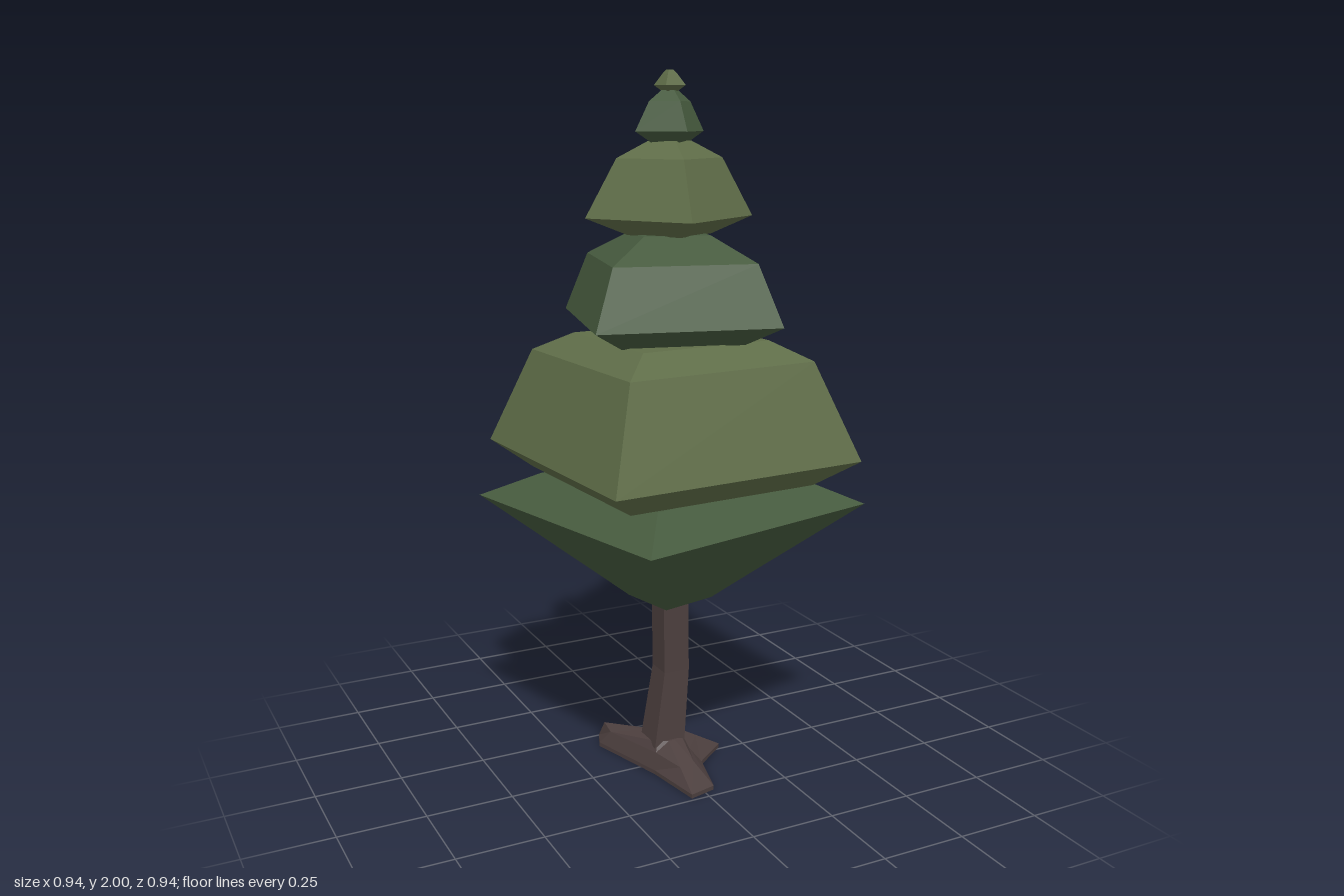
import * as THREE from 'three';

const V = (x, y, z) => new THREE.Vector3(x, y, z);
const mat = (color) => new THREE.MeshStandardMaterial({ color, flatShading: true });

// Closed faceted solid through a stack of rings, listed from bottom to top
function loft(rings) {
  const pos = [];
  const tri = (...pts) => pts.forEach((p) => pos.push(p.x, p.y, p.z));
  const n = rings[0].length;
  const centre = (ring) => ring.reduce((s, p) => s.add(p), V(0, 0, 0)).divideScalar(n);
  const bottom = centre(rings[0]);
  const topRing = rings[rings.length - 1];
  const top = centre(topRing);
  for (let j = 0; j < n; j++) {
    const k = (j + 1) % n;
    for (let i = 0; i < rings.length - 1; i++) {
      const lo = rings[i], hi = rings[i + 1];
      tri(lo[j], hi[j], lo[k]);
      tri(lo[k], hi[j], hi[k]);
    }
    tri(bottom, rings[0][j], rings[0][k]);
    tri(top, topRing[k], topRing[j]);
  }
  const g = new THREE.BufferGeometry();
  g.setAttribute('position', new THREE.Float32BufferAttribute(pos, 3));
  g.computeVertexNormals();
  return g;
}

// Four-cornered ring; deg is the angle of its first corner from +x towards +z
function square(r, y, deg, cx = 0, cz = 0) {
  return [0, 1, 2, 3].map((i) => {
    const a = THREE.MathUtils.degToRad(deg + i * 90);
    return V(cx + r * Math.cos(a), y, cz + r * Math.sin(a));
  });
}

export function createModel() {
  const tree = new THREE.Group();
  tree.name = 'tree';
  const bark = mat(0x4c3f3e);
  const greens = [mat(0x465a3e), mat(0x5f6d48)];
  const add = (name, geometry, material) => {
    const mesh = new THREE.Mesh(geometry, material);
    mesh.name = name;
    tree.add(mesh);
  };

  // Foliage tiers: twist, then [radius, height] from bottom to top
  const tiers = [
    [31.5, [[0.12, 0.52], [0.215, 0.585], [0.552, 0.812], [0.37, 0.882]]],
    [40.9, [[0.41, 0.882], [0.542, 0.957], [0.406, 1.23], [0.28, 1.283]]],
    [58.8, [[0.24, 1.28], [0.357, 1.335], [0.277, 1.5], [0.13, 1.568]]],
    [12.3, [[0.118, 1.565], [0.235, 1.612], [0.148, 1.77], [0.06, 1.815]]],
    [0, [[0.055, 1.81], [0.103, 1.84], [0.062, 1.918], [0.025, 1.947]]],
    [40, [[0.018, 1.942], [0.044, 1.96], [0.02, 1.99], [0.01, 2]]],
  ];
  tiers.forEach(([deg, profile], i) => {
    add(`foliageTier${i + 1}`, loft(profile.map(([r, y]) => square(r, y, deg))), greens[i % 2]);
  });

  // Slightly bent trunk
  add('trunk', loft([
    square(0.068, 0.07, 45, -0.021, -0.007),
    square(0.056, 0.3, 45, 0.004, -0.002),
    square(0.056, 0.54, 45),
  ]), bark);

  // Flared base with three roots: ground outline [x, z, shoulder position, shoulder height]
  const outline = [
    [0.172, -0.01, 0.4, 0.058], [0.07, 0.07, 0.4, 0.05],
    [0.03, 0.22, 0.5, 0.052], [-0.05, 0.24, 0.5, 0.05],
    [-0.08, 0.06, 0.5, 0.06],
    [-0.15, -0.18, 0.75, 0.055], [-0.13, -0.23, 0.88, 0.06],
    [-0.04, -0.12, 0.5, 0.06], [0.04, -0.07, 0.4, 0.055],
  ];
  const core = V(-0.02, 0.088, -0.01);
  const ground = outline.map(([x, z]) => V(x, 0, z));
  const collar = ground.map((p) => p.clone().sub(core).setY(0).setLength(0.058).add(core));
  const shoulder = outline.map(([, , f, y], i) => collar[i].clone().lerp(ground[i], f).setY(y));
  const lip = ground.map((p) => p.clone().setY(0.012));
  add('roots', loft([ground, lip, shoulder, collar]), bark);

  return tree;
}
